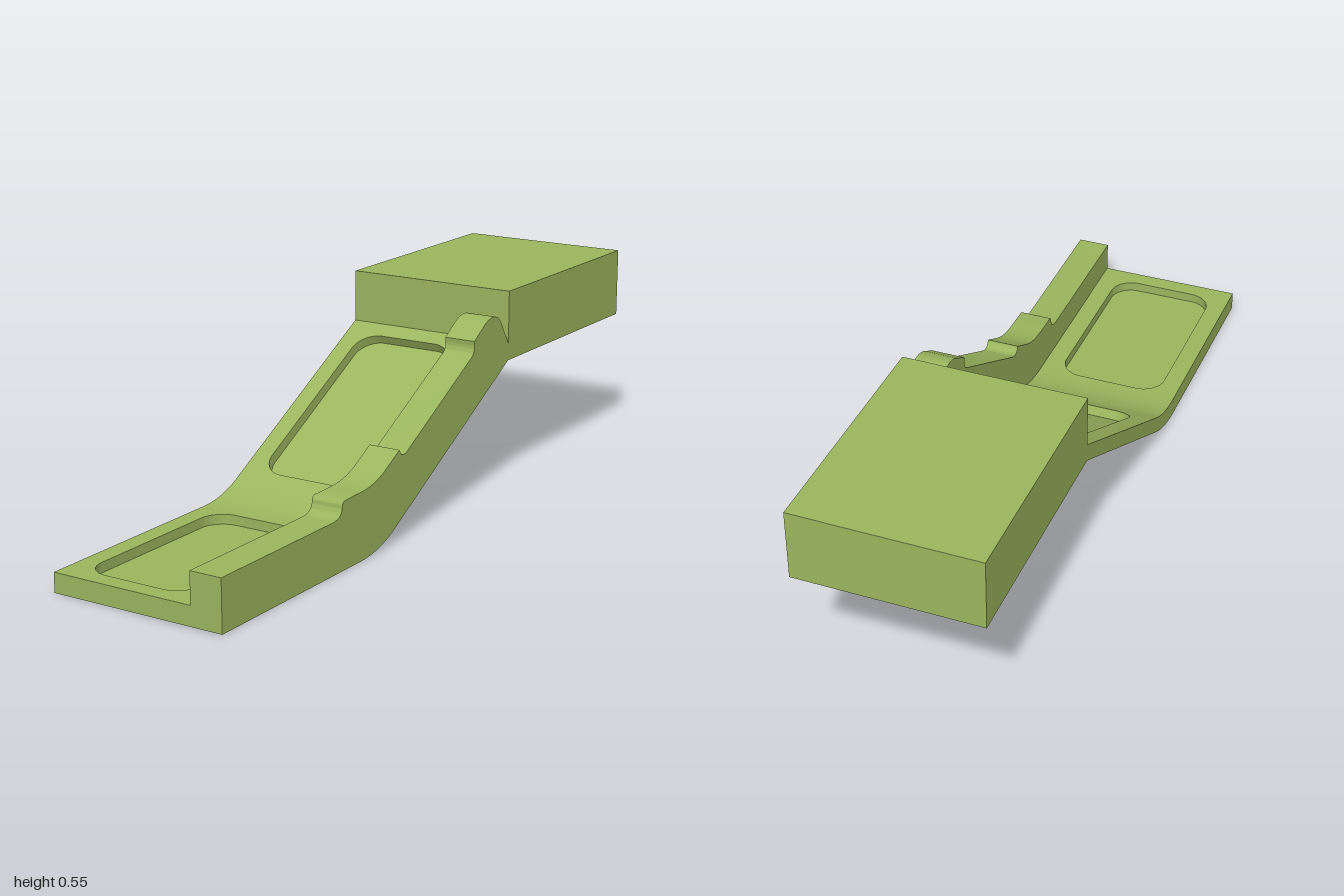
import * as THREE from 'three';
import { toCreasedNormals } from 'three/addons/utils/BufferGeometryUtils.js';

const SLOPE = 0.545;
const ANGLE = Math.atan(SLOPE);
const COS = Math.cos(ANGLE), SIN = Math.sin(ANGLE);
const HALF = 0.25, RAIL_X = 0.16, END_Z = -0.33;
const FLAT_Y = 0.053, DEPTH = 0.027;
const slopeTop = z => 0.41 - SLOPE * (z - END_Z);
const BEND_Z = END_Z + (0.41 - FLAT_Y) / SLOPE; // where flat and slope meet
const BEND_T = 0.08;                            // tangent length of the bend
const FLAT_END = BEND_Z + BEND_T, SLOPE_END = BEND_Z - BEND_T * COS;

export function createModel() {
  const model = new THREE.Group();
  model.name = 'steppedRamp';
  const material = new THREE.MeshStandardMaterial({ color: 0x9ab55e });

  const add = (name, geometry) => {
    const mesh = new THREE.Mesh(geometry, material);
    mesh.name = name;
    model.add(mesh);
    return mesh;
  };

  // Extrudes a (z, y) side profile across x0..x1
  const extrudeSide = (shape, x0, x1) => {
    const g = new THREE.ExtrudeGeometry(shape, { depth: x1 - x0, bevelEnabled: false, curveSegments: 12 });
    g.rotateY(-Math.PI / 2).translate(x1, 0, 0);
    return toCreasedNormals(g, 0.5);
  };

  // Underside shared by the tray and the rail, back to front
  const underside = shape => {
    const corner = END_Z + 0.36 / SLOPE, t = 0.09;
    shape.moveTo(END_Z, 0.36);
    shape.lineTo(corner - t * COS, t * SIN);
    shape.quadraticCurveTo(corner, 0, corner + t, 0);
    shape.lineTo(1, 0);
    return shape;
  };

  // Tray floor with the curved bend between the two recessed panels
  const floor = underside(new THREE.Shape());
  floor.lineTo(1, FLAT_Y - DEPTH);
  floor.lineTo(FLAT_END, FLAT_Y - DEPTH);
  floor.lineTo(FLAT_END, FLAT_Y);
  floor.quadraticCurveTo(BEND_Z, FLAT_Y, SLOPE_END, slopeTop(SLOPE_END));
  floor.lineTo(SLOPE_END - DEPTH * SIN, slopeTop(SLOPE_END) - DEPTH * COS);
  floor.lineTo(END_Z, 0.41 - DEPTH / COS);
  add('trayFloor', extrudeSide(floor, -HALF, RAIL_X));

  // Rim plate with a rounded window; v runs towards the back
  const rimPlate = (v0, v1, p0, p1) => {
    const s = new THREE.Shape();
    s.moveTo(-HALF, v0).lineTo(RAIL_X, v0).lineTo(RAIL_X, v1).lineTo(-HALF, v1).closePath();
    const l = -0.197, r = 0.105, c = 0.065, h = new THREE.Path();
    const q = Math.PI / 2;
    h.absarc(r - c, p0 + c, c, -q, 0);
    h.absarc(r - c, p1 - c, c, 0, q);
    h.absarc(l + c, p1 - c, c, q, 2 * q);
    h.absarc(l + c, p0 + c, c, 2 * q, 3 * q);
    h.closePath();
    s.holes.push(h);
    return toCreasedNormals(
      new THREE.ExtrudeGeometry(s, { depth: DEPTH, bevelEnabled: false, curveSegments: 10 }), 0.5);
  };

  const flatRim = add('flatPanelRim', rimPlate(-1, -FLAT_END, -0.95, -0.42));
  flatRim.rotation.x = -Math.PI / 2;
  flatRim.position.y = FLAT_Y - DEPTH;

  const slopeRim = add('slopedPanelRim',
    rimPlate(-SLOPE_END / COS, -END_Z / COS, -0.22 / COS, 0.287 / COS));
  slopeRim.rotation.x = -Math.PI / 2 + ANGLE;
  slopeRim.position.set(0, slopeTop(0) - DEPTH * COS, -DEPTH * SIN);

  // Side rail with its step, notch and rounded hump
  const rail = underside(new THREE.Shape());
  rail.lineTo(1, 0.138);
  rail.lineTo(0.54, 0.138);
  rail.quadraticCurveTo(0.502, 0.14, 0.5, 0.168);
  rail.quadraticCurveTo(0.5, 0.18, 0.485, 0.181);
  rail.lineTo(0.42, 0.182);
  rail.quadraticCurveTo(0.35, 0.183, 0.3, 0.211);
  rail.lineTo(0.235, 0.246);
  rail.quadraticCurveTo(0.225, 0.222, 0.2, 0.232);
  rail.lineTo(-0.125, 0.409);
  rail.quadraticCurveTo(-0.15, 0.42, -0.142, 0.452);
  rail.lineTo(-0.195, 0.485);
  rail.bezierCurveTo(-0.23, 0.505, -0.267, 0.505, -0.287, 0.475);
  rail.lineTo(END_Z, 0.408);
  add('sideRail', extrudeSide(rail, RAIL_X, HALF));

  // Raised block at the back
  const block = add('rearBlock', new THREE.BoxGeometry(2 * HALF, 0.194, 1 + END_Z));
  block.position.set(0, 0.457, (END_Z - 1) / 2);

  return model;
}
